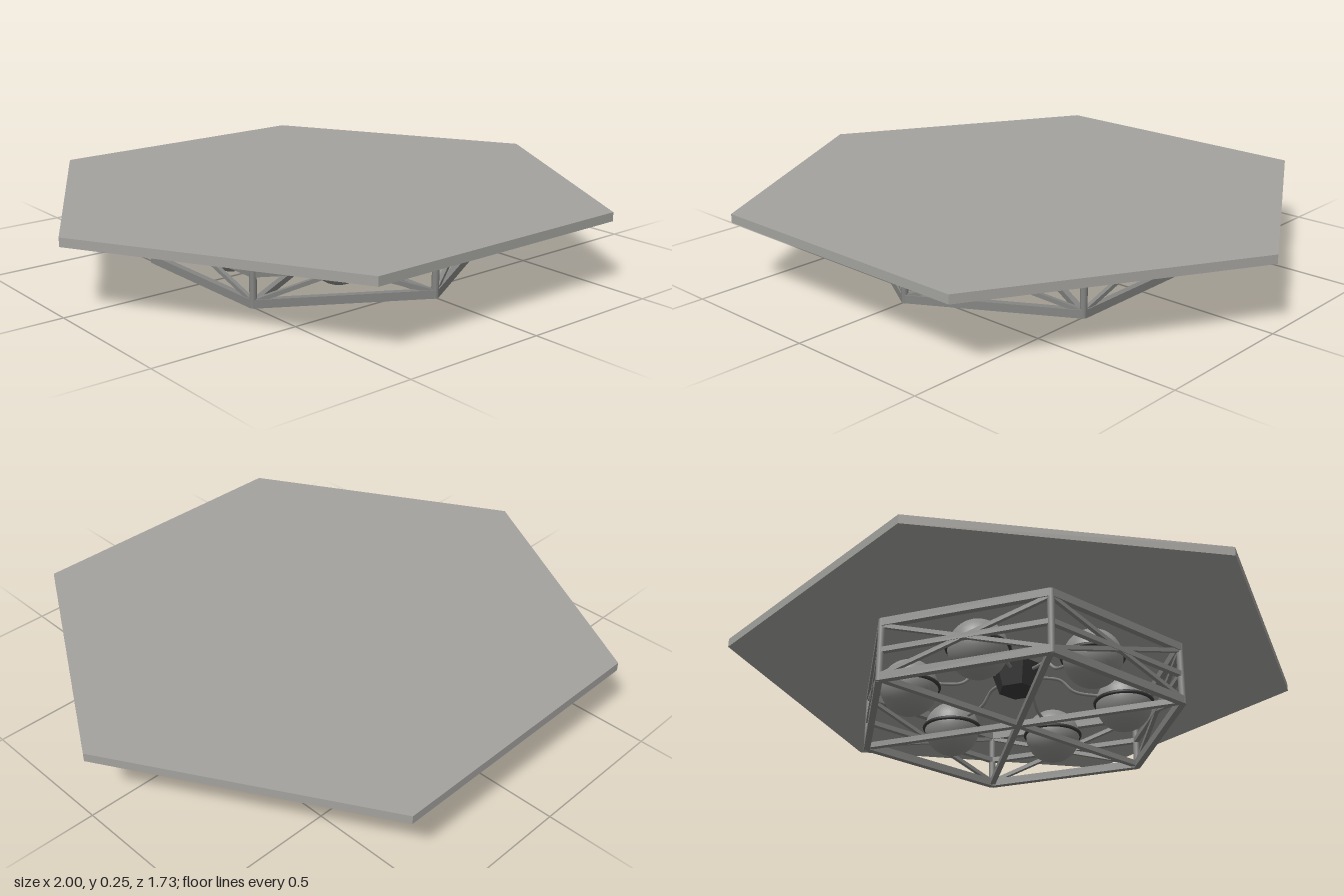
import * as THREE from 'three';

const mat = (name, color) => {
  const m = new THREE.MeshStandardMaterial({ color });
  m.name = name;
  return m;
};

export function createModel() {
  const model = new THREE.Group();
  const plateGrey = mat('plate grey', 0xa3a29e);
  const frameGrey = mat('frame grey', 0x858583);
  const tankGrey = mat('tank grey', 0x8c8c8a);
  const darkGrey = mat('dark grey', 0x3a3a3a);

  const add = (parent, name, geometry, material, x = 0, y = 0, z = 0) => {
    const mesh = new THREE.Mesh(geometry, material);
    mesh.name = name;
    mesh.position.set(x, y, z);
    parent.add(mesh);
    return mesh;
  };

  // square-section beam between two points
  const beam = (parent, name, a, b, width, height = width) => {
    const mesh = add(parent, name, new THREE.BoxGeometry(width, height, a.distanceTo(b)), frameGrey);
    mesh.position.copy(a).add(b).multiplyScalar(0.5);
    mesh.lookAt(b);
    return mesh;
  };

  // hexagonal deck with its points on the x axis
  const deck = add(model, 'deck', new THREE.CylinderGeometry(1, 1, 0.03, 6, 1).toNonIndexed(), plateGrey, 0, 0.24, 0);
  deck.geometry.computeVertexNormals();
  deck.rotation.y = Math.PI / 2;

  // hexagonal truss with its points on the z axis
  const truss = new THREE.Group();
  truss.name = 'truss';
  model.add(truss);
  const R = 0.578;
  const corner = (i, y) => {
    const a = Math.PI / 6 + (i * Math.PI) / 3;
    return new THREE.Vector3(R * Math.cos(a), y, R * Math.sin(a));
  };
  for (let i = 0; i < 6; i++) {
    beam(truss, 'bottomRail', corner(i, 0.014), corner(i + 1, 0.014), 0.022, 0.028);
    beam(truss, 'middleRail', corner(i, 0.11), corner(i + 1, 0.11), 0.018);
    beam(truss, 'topRail', corner(i, 0.21), corner(i + 1, 0.21), 0.022, 0.028);
    beam(truss, 'diagonalBrace', corner(i, 0.02), corner(i + 1, 0.2), 0.014);
    beam(truss, 'diagonalBrace', corner(i, 0.2), corner(i + 1, 0.02), 0.014);
    beam(truss, 'bottomSpoke', new THREE.Vector3(0, 0.014, 0), corner(i, 0.014), 0.02);
    const c = corner(i, 0.112);
    add(truss, 'post', new THREE.CylinderGeometry(0.012, 0.012, 0.222, 8), frameGrey, c.x, c.y, c.z);
  }

  // spherical tanks, each with a collar and a feed pipe to the hub
  const pipePath = new THREE.CatmullRomCurve3([
    new THREE.Vector3(0.08, 0.2, 0), new THREE.Vector3(0.15, 0.195, 0),
    new THREE.Vector3(0.2, 0.155, 0), new THREE.Vector3(0.3, 0.145, 0),
  ]);
  for (let i = 0; i < 6; i++) {
    const unit = new THREE.Group();
    unit.name = 'tankUnit';
    unit.rotation.y = (i * Math.PI) / 3;
    model.add(unit);
    add(unit, 'tank', new THREE.SphereGeometry(0.1, 32, 20), tankGrey, 0.38, 0.122, 0);
    add(unit, 'collar', new THREE.TorusGeometry(0.102, 0.007, 8, 32), darkGrey, 0.38, 0.125, 0).rotation.x = Math.PI / 2;
    add(unit, 'feedPipe', new THREE.TubeGeometry(pipePath, 20, 0.006, 8), frameGrey);
  }

  // six-sided hub hanging under the deck
  const hub = add(model, 'hub', new THREE.CylinderGeometry(0.1, 0.07, 0.085, 6).toNonIndexed(), darkGrey, 0, 0.183, 0);
  hub.geometry.computeVertexNormals();

  return model;
}
